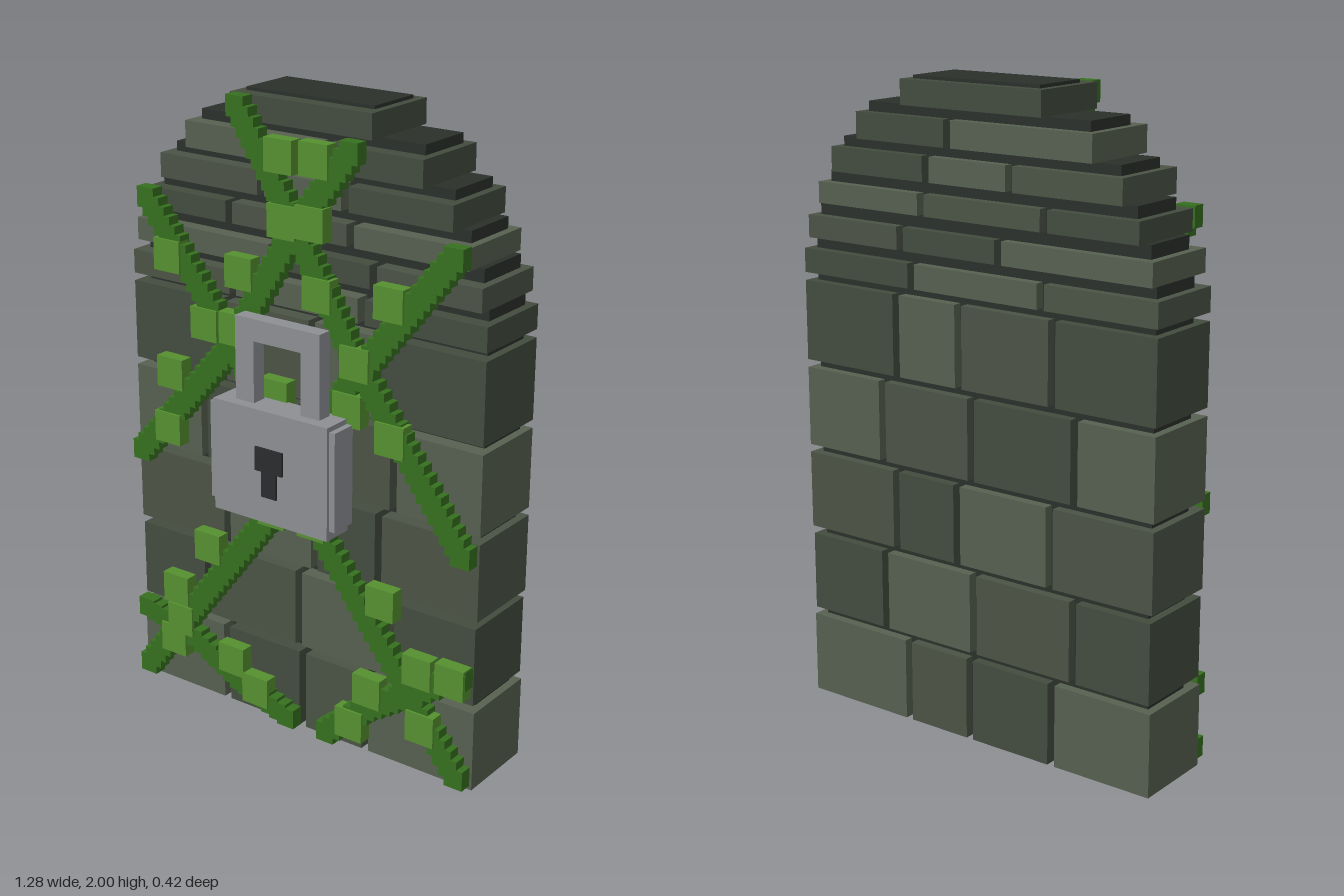
import * as THREE from 'three';

const mat = (color) => new THREE.MeshStandardMaterial({ color, flatShading: true });

export function createModel() {
  const root = new THREE.Group();
  root.name = 'lockedGate';
  const stones = [mat(0x4b5345), mat(0x434c3f), mat(0x566050)];
  const mortar = mat(0x2b302b), vine = mat(0x36701f), leaf = mat(0x559030);
  const metal = mat(0x8e8f94), dark = mat(0x2a2c2d);

  const group = (name) => {
    const g = new THREE.Group();
    g.name = name;
    root.add(g);
    return g;
  };
  // Box given by its minimum and maximum on each axis
  const box = (parent, name, material, x0, x1, y0, y1, z0, z1) => {
    const m = new THREE.Mesh(new THREE.BoxGeometry(x1 - x0, y1 - y0, z1 - z0), material);
    m.position.set((x0 + x1) / 2, (y0 + y1) / 2, (z0 + z1) / 2);
    m.name = name;
    parent.add(m);
  };

  // Wall rows: bottom, top, half width, joint positions
  const rows = [
    [0, 0.26, 0.64, [-0.295, 0.01, 0.25]],
    [0.285, 0.535, 0.635, [-0.37, -0.005, 0.34]],
    [0.56, 0.805, 0.64, [-0.285, 0.055, 0.29]],
    [0.83, 1.08, 0.64, [-0.37, 0.0, 0.34]],
    [1.105, 1.355, 0.64, [-0.29, 0.045, 0.28]],
    [1.38, 1.455, 0.64, [-0.25, 0.22]],
    [1.49, 1.56, 0.62, [-0.1, 0.26]],
    [1.6, 1.665, 0.575, [-0.26, 0.18]],
    [1.7, 1.775, 0.52, [-0.14, 0.16]],
    [1.805, 1.885, 0.42, [0.08]],
    [1.915, 1.99, 0.25, []],
  ];
  const wall = group('brickWall');
  rows.forEach(([y0, y1, w, joints], r) => {
    const top = r < rows.length - 1 ? rows[r + 1][0] : 2;
    box(wall, 'mortar', mortar, -w + 0.025, w - 0.025, y0 + 0.003, top, -0.18, 0.01);
    const cuts = [-w - 0.0125, ...joints, w + 0.0125];
    for (let i = 0; i < cuts.length - 1; i++) {
      box(wall, 'brick', stones[(i * 2 + r * 2 + 2) % 3],
        cuts[i] + 0.0125, cuts[i + 1] - 0.0125, y0, y1, -0.21, 0.058);
    }
  });

  // Vines: small blocks stepped along bent paths
  const paths = [
    [[-0.2, 1.96], [0, 1.65], [0.2, 1.31], [0.6, 0.77]],
    [[0.2, 1.88], [0, 1.62], [-0.25, 1.21], [-0.6, 0.81]],
    [[-0.55, 1.64], [-0.2, 1.2], [0.07, 0.74], [0.6, 0.045]],
    [[0.55, 1.64], [0.2, 1.2], [-0.07, 0.74], [-0.6, 0.045]],
    [[-0.6, 0.25], [-0.4, 0.2], [-0.22, 0.1], [-0.03, 0.035]],
    [[0.125, 0.035], [0.28, 0.17], [0.6, 0.38]],
  ];
  const vines = group('vines');
  const h = 0.032;
  paths.forEach((pts) => {
    for (let i = 0; i < pts.length - 1; i++) {
      const [ax, ay] = pts[i], [bx, by] = pts[i + 1];
      const n = Math.ceil(Math.hypot(bx - ax, by - ay) / 0.035);
      for (let k = i ? 1 : 0; k <= n; k++) {
        const x = ax + (bx - ax) * k / n, y = ay + (by - ay) * k / n;
        box(vines, 'vineBlock', vine, x - h, x + h, y - h, y + h, 0.058, 0.1);
      }
    }
  });

  // Square leaves
  const spots = [
    [-0.04, 1.84], [0.085, 1.845], [-0.03, 1.65], [0.07, 1.66], [-0.465, 1.475], [-0.19, 1.47],
    [0.095, 1.455], [0.345, 1.475], [-0.325, 1.285], [-0.215, 1.29], [0.23, 1.275], [-0.465, 1.1],
    [-0.48, 0.915], [0.355, 1.07], [-0.06, 1.115], [0.205, 1.13], [-0.33, 0.545], [0.33, 0.545],
    [-0.465, 0.36], [0.58, 0.365], [0.465, 0.36], [-0.45, 0.255], [-0.48, 0.175], [-0.24, 0.175],
    [-0.145, 0.095], [0.22, 0.1], [0.285, 0.235], [0.48, 0.175], [-0.075, 0.735], [0.075, 0.735],
  ];
  const leaves = group('leaves');
  spots.forEach(([x, y]) =>
    box(leaves, 'leaf', leaf, x - 0.05, x + 0.05, y - 0.05, y + 0.05, 0.064, 0.108));

  // Padlock: body with side plates, shackle and keyhole
  const lock = group('padlock');
  box(lock, 'lockBody', metal, -0.212, 0.208, 0.75, 1.105, 0.1, 0.203);
  box(lock, 'sidePlates', metal, -0.232, 0.228, 0.78, 1.09, 0.105, 0.193);
  for (const s of [-1, 1]) {
    box(lock, 'shackleLeg', metal, s * 0.12 - 0.034, s * 0.12 + 0.034, 1.1, 1.3, 0.118, 0.167);
  }
  box(lock, 'shackleTop', metal, -0.154, 0.154, 1.297, 1.365, 0.118, 0.167);
  box(lock, 'keyholeTop', dark, -0.052, 0.048, 0.915, 0.99, 0.19, 0.21);
  box(lock, 'keyholeSlot', dark, -0.029, 0.026, 0.835, 0.916, 0.19, 0.21);

  return root;
}
